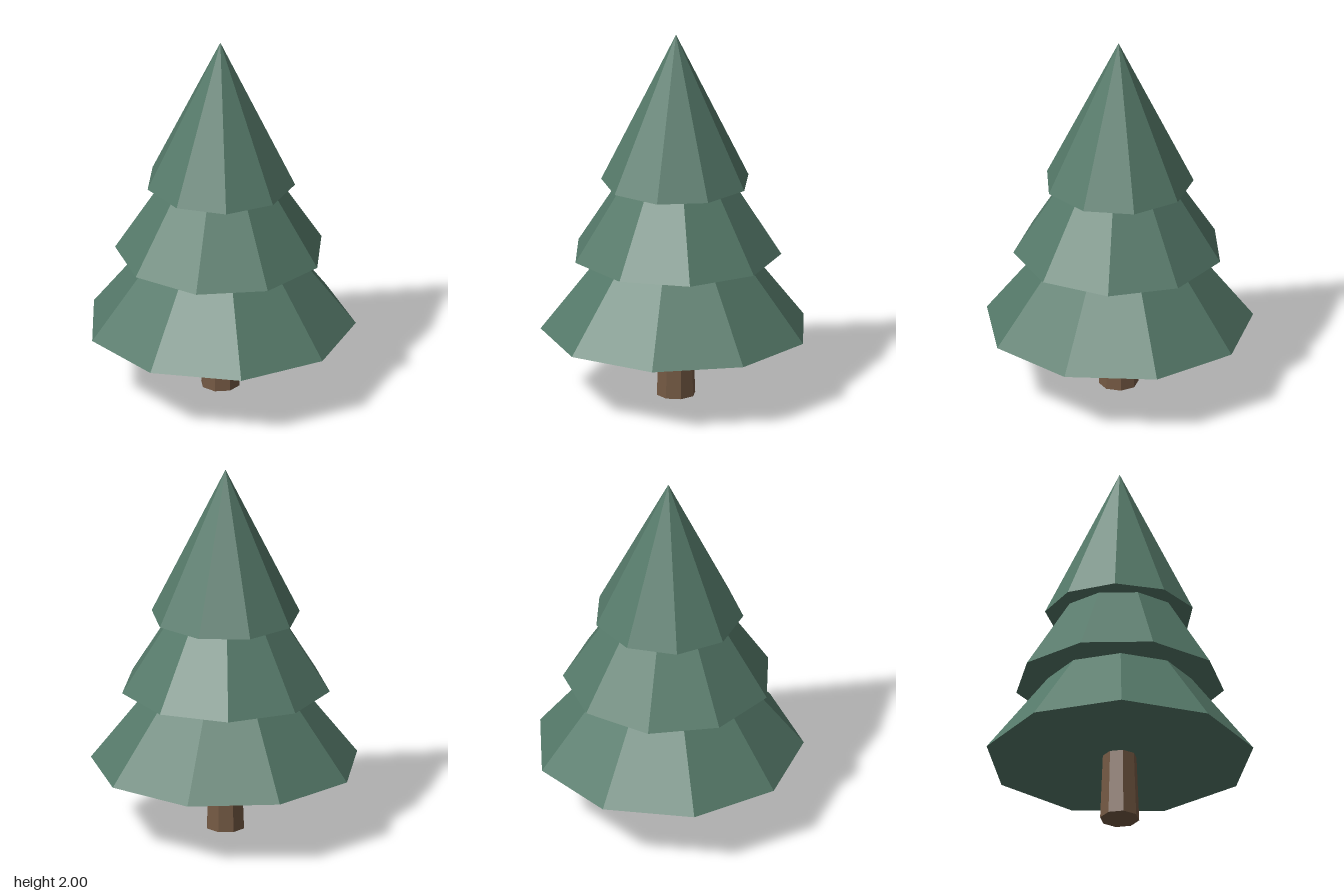
import * as THREE from 'three';

export function createModel() {
  const tree = new THREE.Group();
  tree.name = 'pineTree';

  const foliage = new THREE.MeshStandardMaterial({ color: 0x557969 });
  foliage.name = 'foliageGreen';
  const bark = new THREE.MeshStandardMaterial({ color: 0x745943 });
  bark.name = 'barkBrown';

  const axisZ = 0.02; // the tree's axis sits slightly forward of centre

  // Faceted, capped solid standing on y = bottom, first corner at angle degrees
  function addPart(name, material, sides, topRadius, baseRadius, bottom, top, angle) {
    const start = THREE.MathUtils.degToRad(angle);
    const geometry = new THREE.CylinderGeometry(
      topRadius, baseRadius, top - bottom, sides, 1, false, start
    ).toNonIndexed();
    geometry.computeVertexNormals(); // flat facets
    const mesh = new THREE.Mesh(geometry, material);
    mesh.name = name;
    mesh.position.set(0, (bottom + top) / 2, axisZ);
    tree.add(mesh);
  }

  // Trunk: tapered octagon
  addPart('trunk', bark, 8, 0.088, 0.105, 0, 0.42, 0);

  // Three overlapping nine-sided cones, each turned a little differently
  const tiers = [
    ['lowerBranches', 0.714, 0.36, 1.28, 20],
    ['middleBranches', 0.556, 0.785, 1.655, -2.2],
    ['upperBranches', 0.396, 1.185, 2, 15.5],
  ];
  for (const [name, radius, bottom, top, angle] of tiers) {
    addPart(name, foliage, 9, 0, radius, bottom, top, angle);
  }

  return tree;
}
